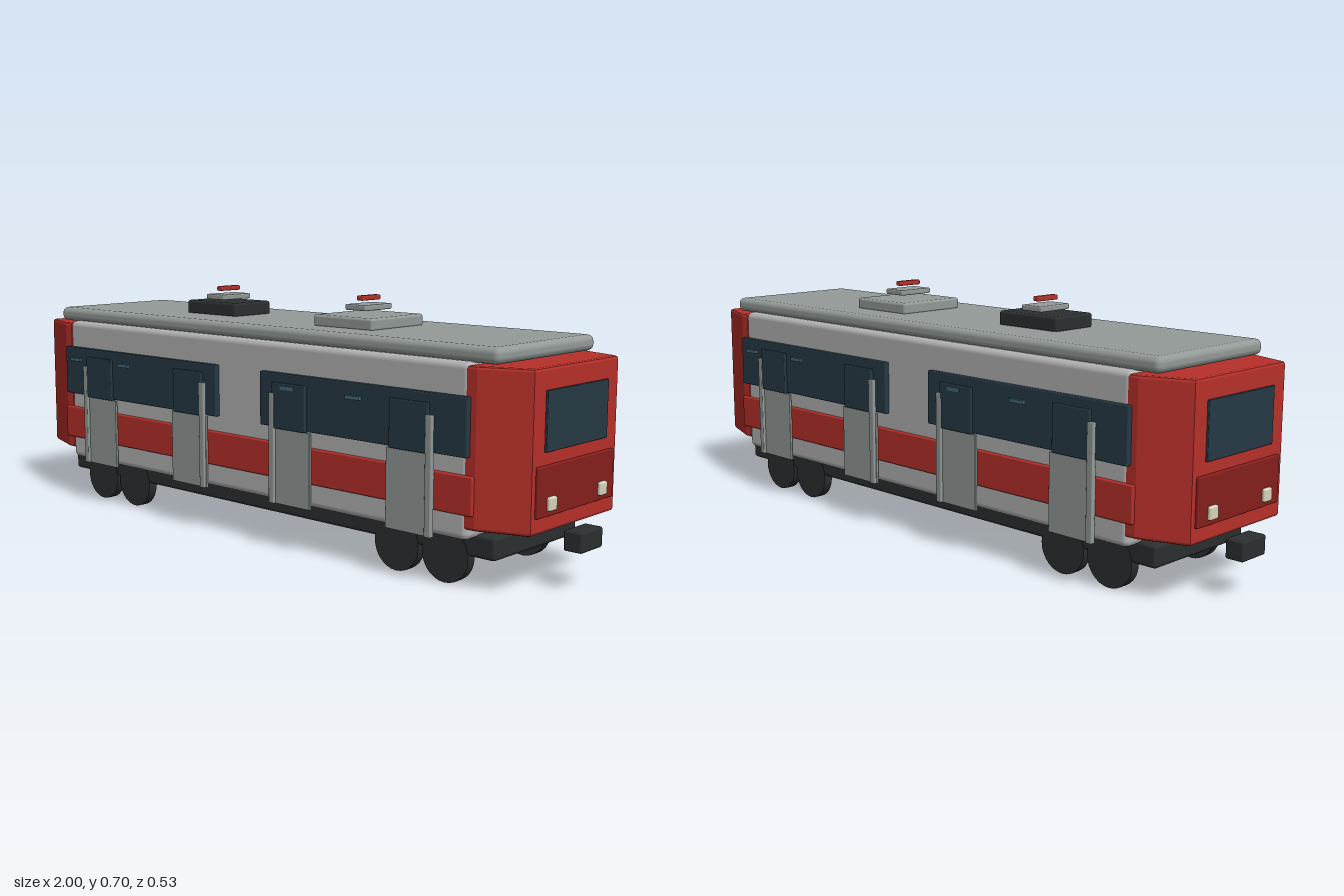
import * as THREE from 'three';
import { RoundedBoxGeometry } from 'three/addons/geometries/RoundedBoxGeometry.js';

const mat = (color) => new THREE.MeshStandardMaterial({ color });
const RED = mat(0xb8302a), DARK_RED = mat(0x861f1d), BODY = mat(0xb4b4b4), GREY = mat(0x939a98);
const DARK = mat(0x2b2f30), GLASS = mat(0x263a45), GLINT = mat(0x45687c), LAMP = mat(0xd8d4bc);

// Box given by its extents on each axis, with optional rounded edges
function box(name, material, [x0, x1], [y0, y1], [z0, z1], r = 0) {
  const w = x1 - x0, h = y1 - y0, d = z1 - z0;
  const geo = r ? new RoundedBoxGeometry(w, h, d, 2, r) : new THREE.BoxGeometry(w, h, d);
  const mesh = new THREE.Mesh(geo, material);
  mesh.name = name;
  mesh.position.set((x0 + x1) / 2, (y0 + y1) / 2, (z0 + z1) / 2);
  return mesh;
}

// One long side, facing +z: stripe, window bands, doors
function createSide() {
  const side = new THREE.Group();
  side.name = 'side';
  side.add(box('stripe', RED, [-0.81, 0.81], [0.2, 0.3], [0.228, 0.247], 0.005));
  for (const s of [-1, 1]) {
    const span = (a, b) => (s > 0 ? [a, b] : [-b, -a]);
    side.add(box('windowBand', GLASS, span(0.09, 0.795), [0.345, 0.495], [0.228, 0.253], 0.003));
    for (const [x, barOffset] of [[0.205, -0.063], [0.62, 0.066]]) {
      side.add(box('door', GREY, span(x - 0.075, x + 0.075), [0.13, 0.342], [0.247, 0.255], 0.002));
      side.add(box('doorWindow', GLASS, span(x - 0.062, x + 0.062), [0.342, 0.47], [0.245, 0.261], 0.003));
      const b = x + barOffset;
      side.add(box('doorHandrail', GREY, span(b - 0.01, b + 0.01), [0.13, 0.44], [0.25, 0.263], 0.003));
    }
  }
  for (const x of [-0.735, -0.5, 0.2, 0.435])
    side.add(box('windowGlint', GLINT, [x - 0.024, x + 0.024], [0.452, 0.462], [0.25, 0.2625]));
  return side;
}

// One end, facing +x: tapered cab, windscreen, lamps, coupler
function createCab() {
  const cab = new THREE.Group();
  cab.name = 'cab';
  const bevel = 0.008;
  const plan = new THREE.Shape([
    [0.79, -0.23], [0.81, -0.23], [0.935, -0.185], [0.935, 0.185], [0.81, 0.23], [0.79, 0.23],
  ].map(([x, y]) => new THREE.Vector2(x, y)));
  const geo = new THREE.ExtrudeGeometry(plan, {
    depth: 0.407 - 2 * bevel, bevelEnabled: true, bevelSize: bevel, bevelThickness: bevel, bevelSegments: 2,
  });
  geo.rotateX(-Math.PI / 2).translate(0, 0.163 + bevel, 0);
  const shell = new THREE.Mesh(geo, RED);
  shell.name = 'cabShell';
  cab.add(shell);
  cab.add(box('windscreen', GLASS, [0.93, 0.949], [0.364, 0.515], [-0.14, 0.14], 0.002));
  cab.add(box('lowerPanel', DARK_RED, [0.93, 0.951], [0.205, 0.332], [-0.175, 0.175], 0.004));
  for (const z of [-0.117, 0.117])
    cab.add(box('headlight', LAMP, [0.94, 0.96], [0.219, 0.254], [z - 0.0175, z + 0.0175], 0.005));
  cab.add(box('coupler', DARK, [0.947, 1], [0.104, 0.157], [-0.05, 0.05], 0.006));
  return cab;
}

// Pair of axles with a low frame between the wheels
function createBogie(x) {
  const bogie = new THREE.Group();
  bogie.name = 'bogie';
  bogie.add(box('bogieFrame', DARK, [x - 0.13, x + 0.13], [0.064, 0.12], [-0.162, 0.162], 0.008));
  const wheelGeo = new THREE.CylinderGeometry(0.073, 0.073, 0.028, 28).rotateX(Math.PI / 2);
  for (const dx of [-0.079, 0.079]) for (const z of [-0.176, 0.176]) {
    const wheel = new THREE.Mesh(wheelGeo, DARK);
    wheel.name = 'wheel';
    wheel.position.set(x + dx, 0.073, z);
    bogie.add(wheel);
  }
  return bogie;
}

// Roof box with a small plate and a red contact strip above
function createRoofUnit(x, material, top, halfDepth) {
  const unit = new THREE.Group();
  unit.name = 'roofUnit';
  unit.add(box('roofBox', material, [x - 0.107, x + 0.107], [0.612, top], [-halfDepth, halfDepth], 0.008));
  unit.add(box('contactPlate', GREY, [x - 0.037, x + 0.037], [0.66, 0.676], [-0.058, 0.058], 0.004));
  unit.add(box('contactStrip', RED, [x - 0.011, x + 0.011], [0.686, 0.7], [-0.04, 0.04], 0.004));
  return unit;
}

export function createModel() {
  const model = new THREE.Group();
  model.name = 'railcar';
  model.add(box('body', BODY, [-0.79, 0.79], [0.133, 0.577], [-0.238, 0.238], 0.018));
  model.add(box('roof', GREY, [-0.86, 0.86], [0.573, 0.616], [-0.22, 0.22], 0.018));
  model.add(box('underframe', DARK, [-0.84, 0.84], [0.081, 0.142], [-0.188, 0.188], 0.01));

  // Matching halves, turned about the upright axis
  for (const angle of [0, Math.PI]) {
    for (const part of [createSide(), createCab()]) {
      part.rotation.y = angle;
      model.add(part);
    }
  }
  // The far side carries its glints at the same places along the length
  model.add(createBogie(-0.617), createBogie(0.61));
  model.add(createRoofUnit(-0.298, DARK, 0.655, 0.075));
  model.add(createRoofUnit(0.268, GREY, 0.647, 0.112));
  return model;
}
